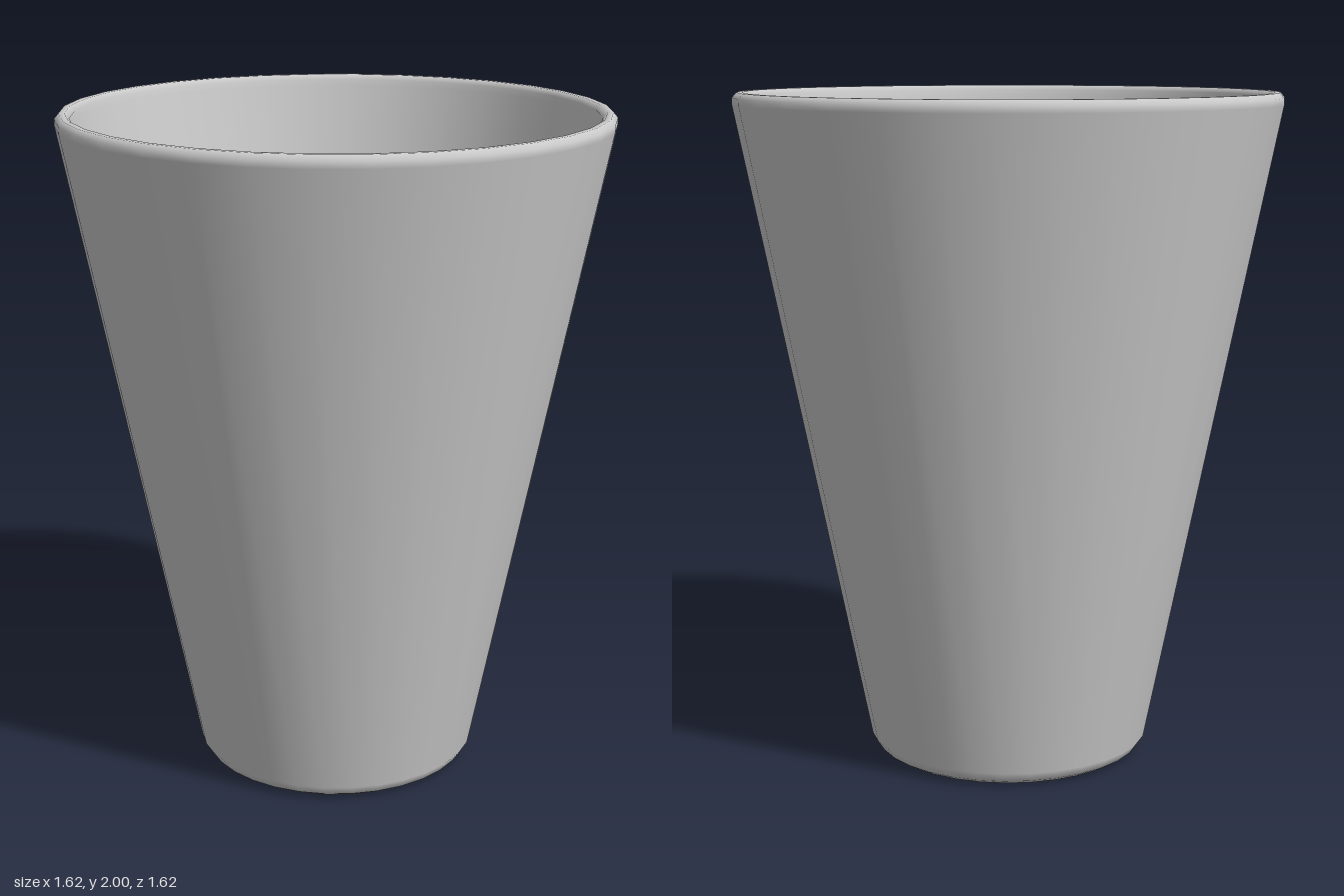
import * as THREE from 'three';

export function createModel() {
  const group = new THREE.Group();
  group.name = 'cup';

  // Closed wall profile: underside, outer wall, rolled rim, inner wall, floor
  const profile = [
    [0, 0], [0.38, 0], [0.405, 0.015], [0.425, 0.045],
    [0.808, 1.965], [0.808, 1.985], [0.795, 2],
    [0.778, 2], [0.765, 1.985], [0.768, 1.965],
    [0.385, 0.06], [0.36, 0.045], [0, 0.045],
  ].map(([r, y]) => new THREE.Vector2(r, y));

  const cup = new THREE.Mesh(
    new THREE.LatheGeometry(profile, 32),
    new THREE.MeshStandardMaterial({ color: 0xcccccc })
  );
  cup.name = 'cupBody';
  group.add(cup);
  return group;
}
